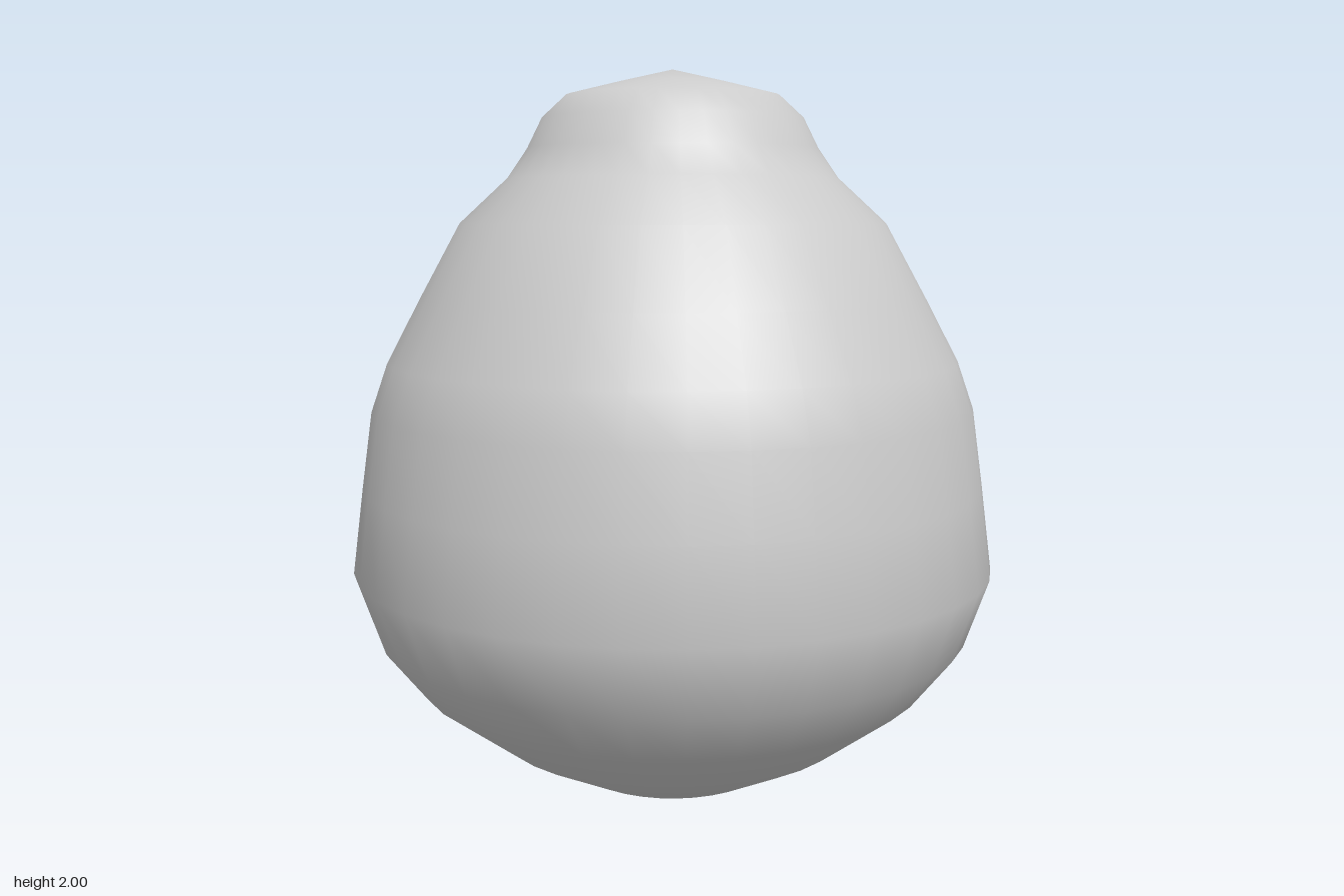
import * as THREE from 'three';

// Half outline from the underside to the crown: [radius, height]
const OUTLINE = [
  [0, 0], [0.14, 0.015], [0.28, 0.045], [0.5, 0.16], [0.71, 0.32], [0.82, 0.46],
  [0.885, 0.65], [0.855, 0.88], [0.825, 1.09], [0.78, 1.22], [0.69, 1.39],
  [0.58, 1.59], [0.45, 1.71], [0.395, 1.79], [0.355, 1.87], [0.29, 1.93],
  [0.15, 1.965], [0, 2],
];

export function createModel() {
  const group = new THREE.Group();
  group.name = 'pearShape';

  // Round, bottom-heavy body with a pinched neck and shallow domed crown
  const geometry = new THREE.LatheGeometry(
    OUTLINE.map(([r, y]) => new THREE.Vector2(r, y)), 36);

  // Straight normals at both poles keep the ends smoothly rounded
  const { position, normal } = geometry.attributes;
  for (let i = 0; i < position.count; i++) {
    const y = position.getY(i);
    if (y === 0 || y === 2) normal.setXYZ(i, 0, y === 0 ? -1 : 1, 0);
  }

  const body = new THREE.Mesh(
    geometry, new THREE.MeshStandardMaterial({ color: 0xcccccc }));
  body.name = 'body';
  group.add(body);
  return group;
}
